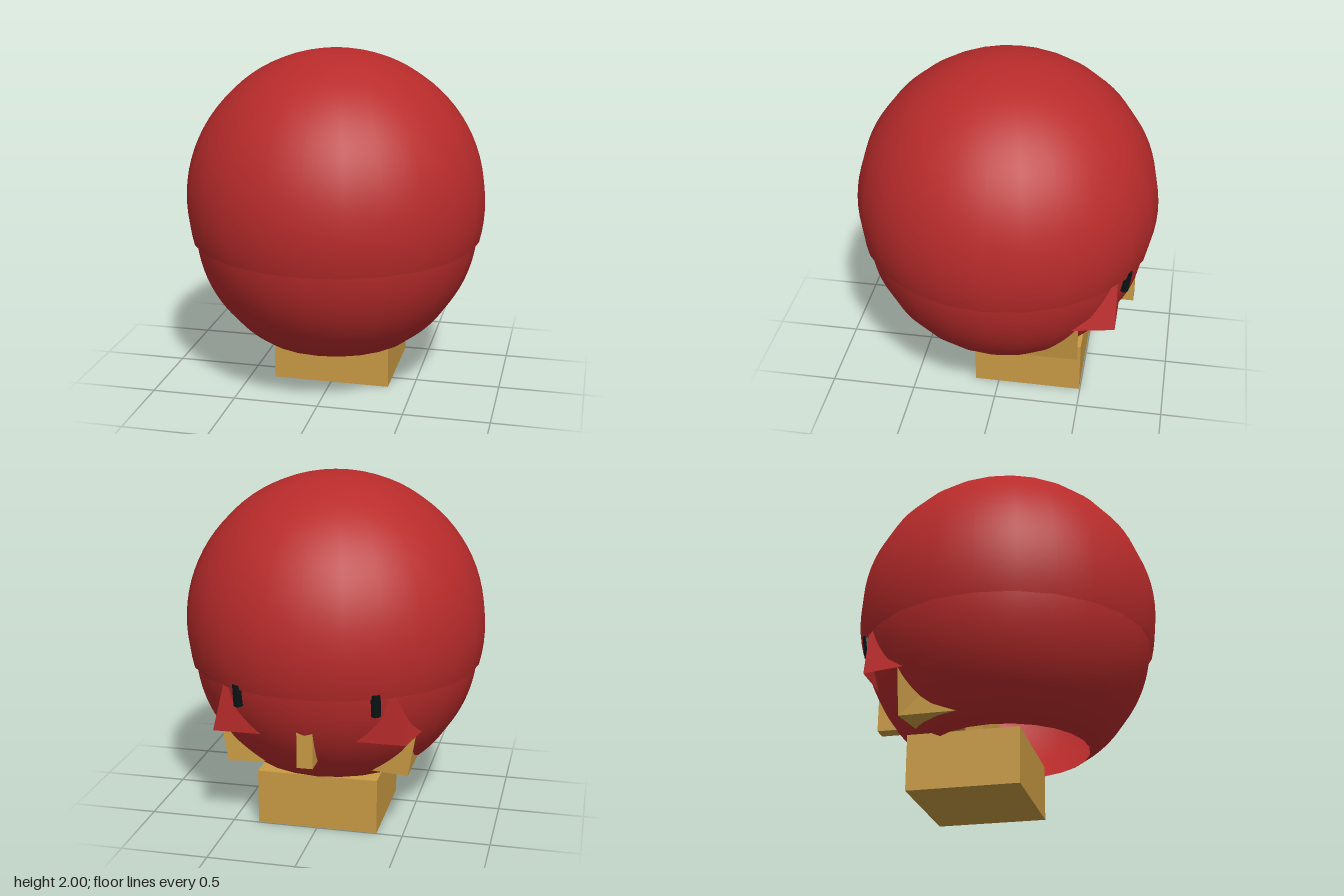
import * as THREE from 'three';

const material = (color, flat = false) =>
  new THREE.MeshStandardMaterial({ color, flatShading: flat, side: THREE.DoubleSide });

const RED = 0xb92b2b, GOLD = 0xc99b44, BLACK = 0x0c1416;

function addPart(group, name, geometry, mat, x = 0, y = 0, z = 0) {
  const mesh = new THREE.Mesh(geometry, mat);
  mesh.name = name;
  mesh.position.set(x, y, z);
  group.add(mesh);
  return mesh;
}

// Part of a sphere between two heights measured from its centre
function bowl(radius, top, bottom) {
  const start = Math.acos(top / radius);
  return new THREE.SphereGeometry(radius, 24, 24, 0, Math.PI * 2, start, Math.acos(bottom / radius) - start);
}

// Four-sided block between a lower and an upper ring of [x, z] corners
function taperedBlock(lower, yLow, upper, yHigh, side, closedBottom) {
  const ring = (points, y) => {
    const r = points.map(([x, z]) => [x * side, y, z]);
    return side < 0 ? r.reverse() : r;
  };
  const a = ring(lower, yLow), b = ring(upper, yHigh), pos = [];
  const quad = (p, q, r, s) => pos.push(...p, ...q, ...r, ...p, ...r, ...s);
  for (let i = 0; i < 4; i++) {
    const j = (i + 1) % 4;
    quad(a[i], a[j], b[j], b[i]);
  }
  quad(b[0], b[1], b[2], b[3]);
  if (closedBottom) quad(a[3], a[2], a[1], a[0]);
  const geometry = new THREE.BufferGeometry();
  geometry.setAttribute('position', new THREE.Float32BufferAttribute(pos, 3));
  geometry.computeVertexNormals();
  return geometry;
}

export function createModel() {
  const model = new THREE.Group();
  model.name = 'roundFigure';
  const redSmooth = material(RED), red = material(RED, true);
  const gold = material(GOLD, true), black = material(BLACK, true);

  // Upper dome overhangs the slightly smaller lower bowl
  addPart(model, 'upperDome', bowl(0.88, 0.88, -0.22), redSmooth, 0, 1.12, 0);
  addPart(model, 'lowerBowl', bowl(0.842, -0.08, -0.7), redSmooth, 0, 1, 0);

  // Base block, set towards the back
  addPart(model, 'baseBlock', new THREE.BoxGeometry(0.7, 0.322, 0.638), gold, 0, 0.161, -0.176);

  // Small block poking out at the middle of the back
  addPart(model, 'centrePeg', new THREE.BoxGeometry(0.09, 0.24, 0.2), gold, 0, 0.6, -0.675);

  for (const side of [1, -1]) {
    const label = side > 0 ? 'left' : 'right';

    // Flared flap, open underneath
    addPart(model, label + 'Flap', taperedBlock(
      [[0.545, -0.7], [0.24, -0.7], [0.3, -0.4], [0.61, -0.38]], 0.63,
      [[0.475, -0.7], [0.24, -0.7], [0.3, -0.4], [0.53, -0.4]], 0.92, side, false), red);

    // Corner block below the flap
    addPart(model, label + 'CornerBlock', taperedBlock(
      [[0.525, -0.495], [0.25, -0.45], [0.2, -0.2], [0.53, -0.15]], 0.37,
      [[0.575, -0.495], [0.25, -0.45], [0.2, -0.2], [0.55, -0.15]], 0.66, side, true), gold);

    // Thin upright pin under the rim
    const pin = addPart(model, label + 'Pin',
      new THREE.CylinderGeometry(0.028, 0.028, 0.13, 8), black, side * 0.385, 0.865, -0.737);
    pin.rotation.x = -0.14;
  }
  return model;
}
